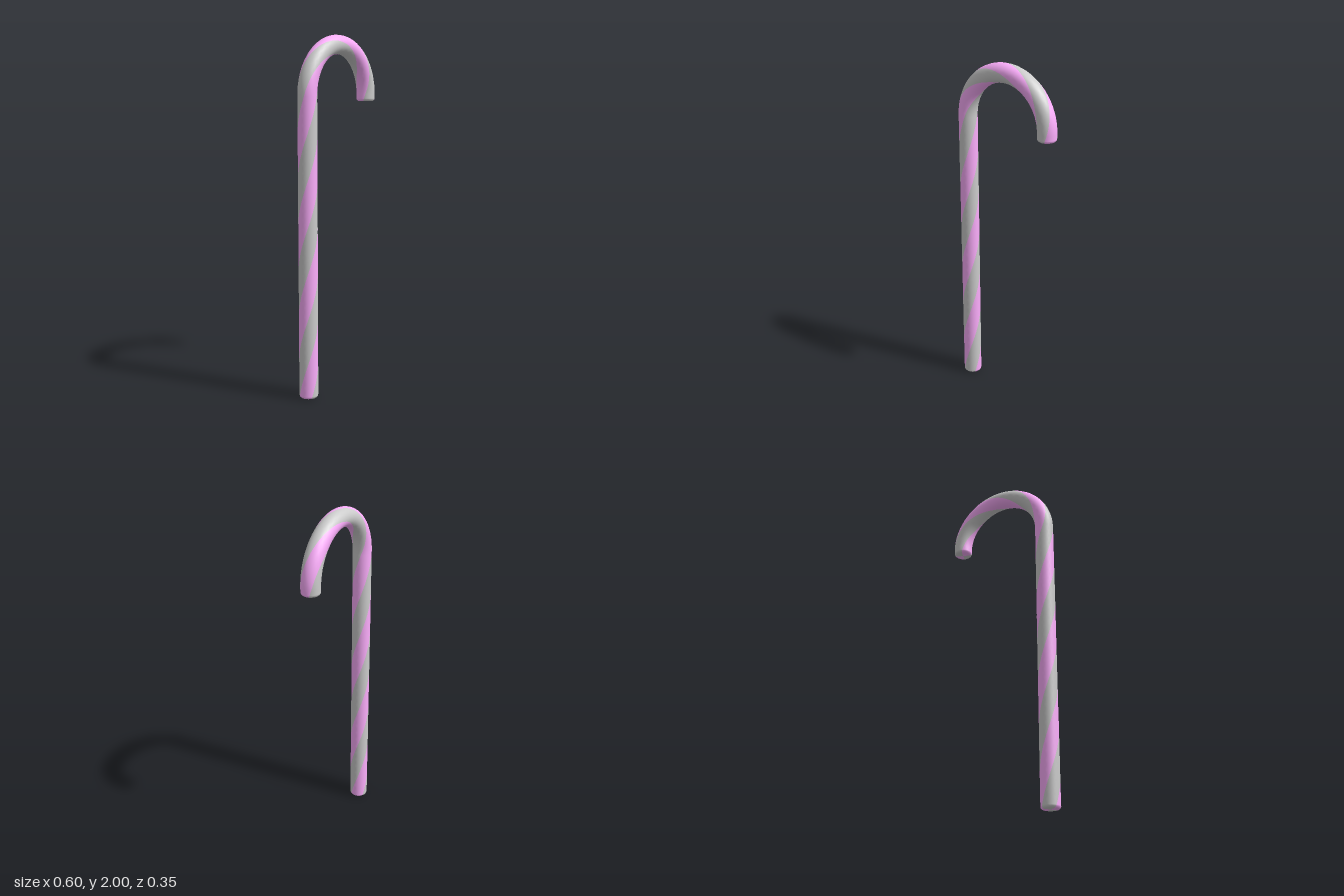
import * as THREE from 'three';

const RADIUS = 0.053;          // thickness of the cane
const HOOK = 0.274;            // radius of the hook's centre line
const STEM = 1.673;            // height of the straight stem
const TAIL = 0.04;             // short straight end after the hook
const LENGTH = STEM + Math.PI * HOOK + TAIL;
const TWIST = THREE.MathUtils.degToRad(357);   // stripe twist per unit of length
const PHASE = THREE.MathUtils.degToRad(-37);   // where the first stripe starts
const SEGMENTS = 5;            // sides per quarter stripe

// The hook lies in a vertical plane turned about y
const out = new THREE.Vector3(-0.246, 0, 0.12).normalize();
const up = new THREE.Vector3(0, 1, 0);
const side = new THREE.Vector3(out.z, 0, -out.x);

// Centre, outward direction and tangent at a distance along the cane
function frameAt(s) {
  const a = THREE.MathUtils.clamp((s - STEM) / HOOK, 0, Math.PI);
  const outer = out.clone().multiplyScalar(Math.cos(a)).addScaledVector(up, Math.sin(a));
  const tangent = out.clone().multiplyScalar(-Math.sin(a)).addScaledVector(up, Math.cos(a));
  const center = outer.clone().multiplyScalar(HOOK).addScaledVector(up, STEM);
  const extra = s < STEM ? s - STEM : Math.max(0, s - STEM - Math.PI * HOOK);
  center.addScaledVector(tangent, extra);
  return { center, outer, tangent };
}

// Rings along the cane: distance, radius, tilt of the normal along the tangent
function makeRings() {
  const bevel = 0.016;
  const flat = RADIUS - bevel;
  const start = [{ s: 0, r: 0, tilt: -Math.PI / 2 }];
  for (let i = 0; i <= 3; i++) {
    const t = (i / 3) * Math.PI / 2;
    start.push({ s: bevel * (1 - Math.sin(t)), r: flat + bevel * Math.cos(t), tilt: -t });
  }
  const first = [start[0], ...start.slice(1).reverse()];
  const last = first.map(({ s, r, tilt }) => ({ s: LENGTH - s, r, tilt: -tilt })).reverse();
  const body = [];
  for (let i = 1; i < 100; i++) {
    body.push({ s: bevel + (LENGTH - 2 * bevel) * i / 100, r: RADIUS, tilt: 0 });
  }
  return [...first, ...body, ...last];
}

// One quarter of the round section, swept and twisted along the whole cane
function stripeGeometry(startAngle) {
  const positions = [], normals = [], index = [];
  const row = SEGMENTS + 1;
  makeRings().forEach(({ s, r, tilt }, i) => {
    const { center, outer, tangent } = frameAt(s);
    for (let j = 0; j < row; j++) {
      const angle = startAngle + (j / SEGMENTS) * Math.PI / 2 + s * TWIST;
      const radial = outer.clone().multiplyScalar(Math.cos(angle)).addScaledVector(side, Math.sin(angle));
      positions.push(...center.clone().addScaledVector(radial, r).toArray());
      normals.push(...radial.multiplyScalar(Math.cos(tilt)).addScaledVector(tangent, Math.sin(tilt)).toArray());
      if (i > 0 && j > 0) {
        const d = i * row + j, c = d - 1, b = d - row, a = b - 1;
        index.push(a, b, c, b, d, c);
      }
    }
  });
  const geometry = new THREE.BufferGeometry();
  geometry.setAttribute('position', new THREE.Float32BufferAttribute(positions, 3));
  geometry.setAttribute('normal', new THREE.Float32BufferAttribute(normals, 3));
  geometry.setIndex(index);
  return geometry;
}

export function createModel() {
  const group = new THREE.Group();
  group.name = 'candyCane';
  const pink = new THREE.MeshStandardMaterial({ color: 0xfcaefc });
  const grey = new THREE.MeshStandardMaterial({ color: 0xcccccc });

  // Four twisted stripes, alternating in colour
  for (let k = 0; k < 4; k++) {
    const stripe = new THREE.Mesh(stripeGeometry(PHASE + k * Math.PI / 2), k % 2 ? grey : pink);
    stripe.name = (k % 2 ? 'greyStripe' : 'pinkStripe') + (k < 2 ? 'A' : 'B');
    group.add(stripe);
  }
  return group;
}
